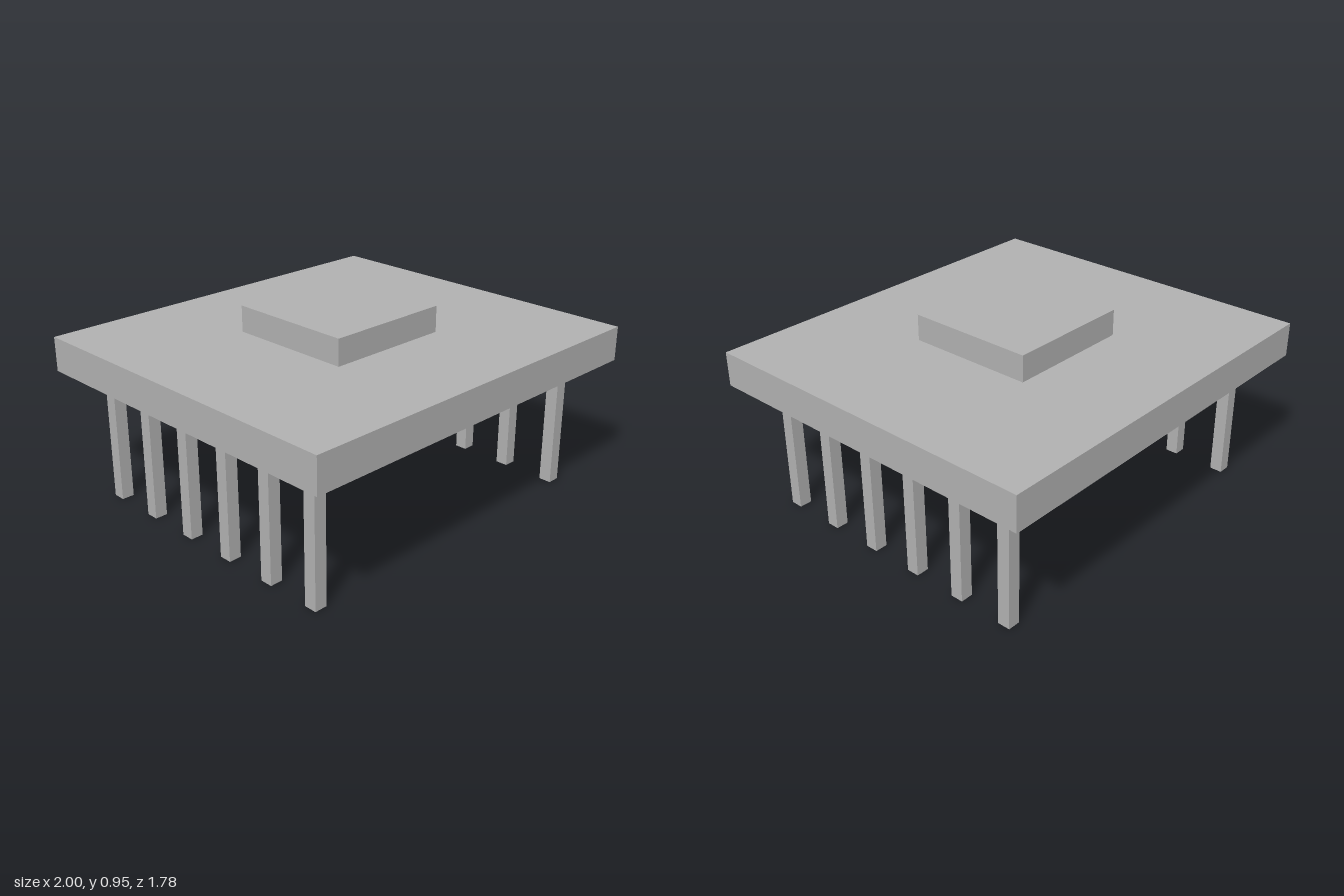
import * as THREE from 'three';

export function createModel() {
  const model = new THREE.Group();
  const grey = new THREE.MeshStandardMaterial({ color: 0xb0b0b0 });
  grey.name = 'grey';

  // Box given by its centre in x and z, and its bottom and top heights
  function addBox(name, width, depth, bottom, top, x = 0, z = 0, parent = model) {
    const mesh = new THREE.Mesh(new THREE.BoxGeometry(width, top - bottom, depth), grey);
    mesh.name = name;
    mesh.position.set(x, (bottom + top) / 2, z);
    parent.add(mesh);
  }

  // Flat slab with a raised square block on top
  addBox('slab', 2, 1.78, 0.652, 0.823);
  addBox('raisedBlock', 0.647, 0.647, 0.823, 0.953, -0.002, -0.002);

  // Two rows of six square pins
  const pinCount = 6, pinSpacing = 0.2745, pinWidth = 0.063;
  for (const [name, x] of [['leftPins', 0.818], ['rightPins', -0.822]]) {
    const row = new THREE.Group();
    row.name = name;
    for (let i = 0; i < pinCount; i++) {
      const z = (i - (pinCount - 1) / 2) * pinSpacing + 0.002;
      addBox('pin', pinWidth, pinWidth, 0, 0.652, x, z, row);
    }
    model.add(row);
  }
  return model;
}
